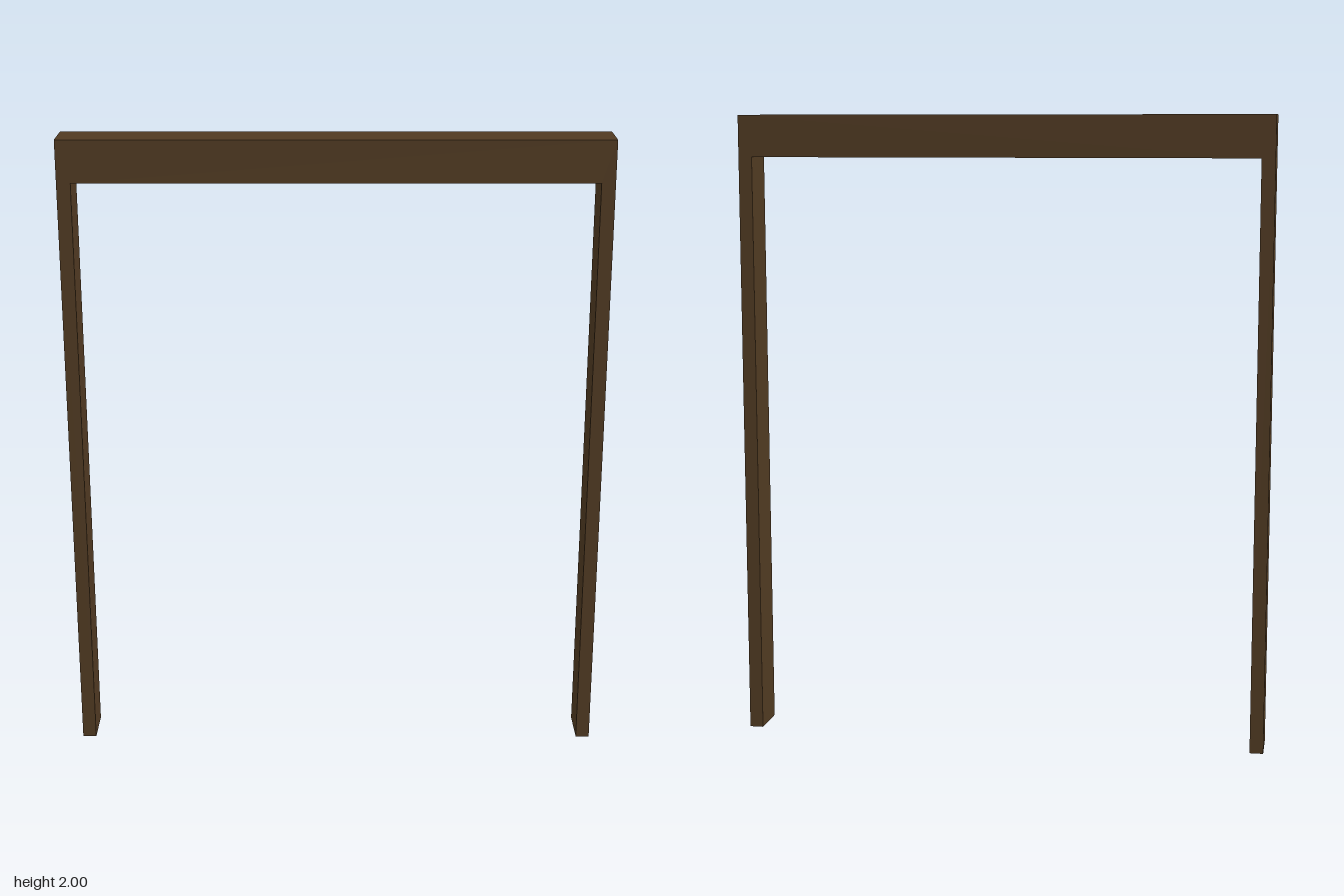
import * as THREE from 'three';

export function createModel() {
  const group = new THREE.Group();
  group.name = 'doorway';

  const wood = new THREE.MeshStandardMaterial({ color: 0x503a22 });
  wood.name = 'dark brown wood';

  const outer = 0.843, inner = 0.8, top = 2, underside = 1.868, depth = 0.134;

  // Two posts and a lintel as one continuous frame
  const outline = new THREE.Shape([
    [-outer, 0], [-inner, 0], [-inner, underside], [inner, underside],
    [inner, 0], [outer, 0], [outer, top], [-outer, top],
  ].map(([x, y]) => new THREE.Vector2(x, y)));

  const geometry = new THREE.ExtrudeGeometry(outline, { depth, bevelEnabled: false });
  geometry.translate(0, 0, -depth / 2);

  const frame = new THREE.Mesh(geometry, wood);
  frame.name = 'doorFrame';
  group.add(frame);
  return group;
}
